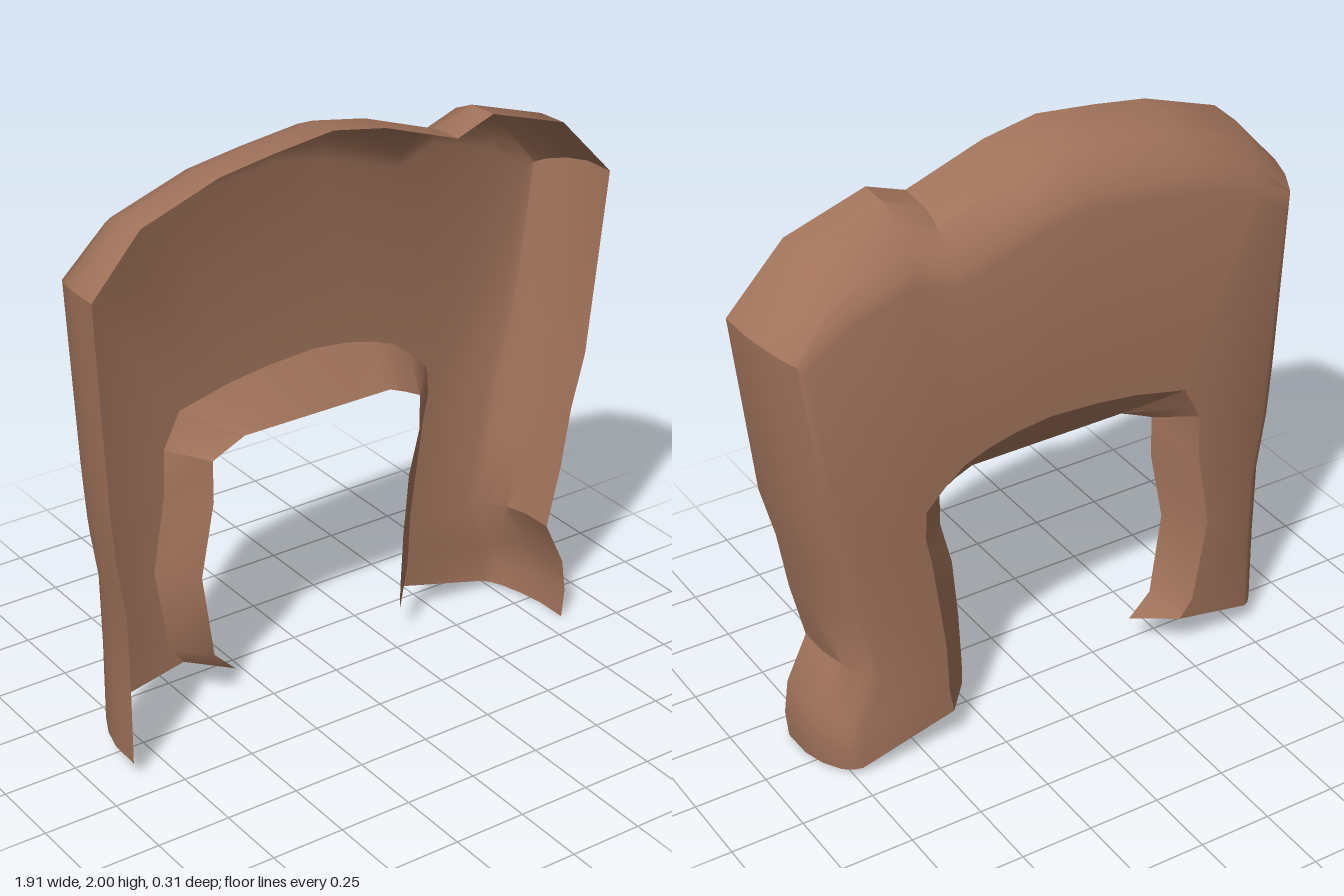
import * as THREE from 'three';
import { toCreasedNormals } from 'three/addons/utils/BufferGeometryUtils.js';

// Outer silhouette, from the foot at -x over the top to the foot at +x
const outer = [
  [-0.88, 0.06], [-0.88, 0.35], [-0.885, 0.6], [-0.915, 0.8], [-0.93, 1.0], [-0.96, 1.66],
  [-0.79, 1.85], [-0.52, 1.945], [-0.33, 1.975], [-0.12, 2.0], [0.07, 1.965], [0.34, 1.87],
  [0.475, 1.92], [0.755, 1.83], [0.955, 1.62], [0.885, 0.99], [0.835, 0.8], [0.8, 0.59],
  [0.75, 0.38], [0.825, 0.22], [0.84, 0.1], [0.83, 0],
];

// Edge of the back wall around the doorway, station by station
const archBack = [
  [-0.5, 0.135], [-0.55, 0.2], [-0.6, 0.5], [-0.555, 0.77], [-0.55, 0.93], [-0.53, 0.97],
  [-0.49, 1.05], [-0.3, 1.095], [-0.15, 1.115], [0.02, 1.125], [0.15, 1.11], [0.25, 1.085],
  [0.33, 1.055], [0.4, 1.0], [0.47, 0.93], [0.475, 0.83], [0.455, 0.73], [0.44, 0.62],
  [0.41, 0.4], [0.405, 0.3], [0.4, 0.2], [0.385, 0.12],
];

// Narrower front lip of the doorway
const archLip = [
  [-0.37, 0.12], [-0.45, 0.2], [-0.49, 0.5], [-0.44, 0.76], [-0.44, 0.905], [-0.42, 0.915],
  [-0.32, 0.96], [-0.22, 0.96], [-0.1, 0.96], [0, 0.96], [0.12, 0.96], [0.2, 0.96],
  [0.24, 0.96], [0.3, 0.935], [0.36, 0.905], [0.36, 0.78], [0.34, 0.7], [0.32, 0.62],
  [0.3, 0.4], [0.295, 0.3], [0.29, 0.2], [0.29, 0.12],
];

// Rounded shoulder: [fraction of the inset, z]
const shoulder = [[0, 0.16], [0.02, 0.05], [0.2, -0.03], [0.5, -0.1], [0.75, -0.13], [1, -0.146]];
const BACK_Z = -0.15, LIP_Z = -0.04;

// Inward offset of the silhouette: deeper along the top than at the sides
function inset(i) {
  const last = outer.length - 1;
  const [x, y] = outer[i];
  if (i === 0 || i === last) {
    const d = new THREE.Vector2(archBack[i][0] - x, archBack[i][1] - y);
    return d.setLength(0.11);
  }
  const edge = (a, b) => new THREE.Vector2(b[1] - a[1], a[0] - b[0]).normalize();
  const n = edge(outer[i - 1], outer[i]).add(edge(outer[i], outer[i + 1])).normalize();
  return new THREE.Vector2(n.x * 0.11, n.y * 0.2);
}

// Skin a grid of rows (one row per station along the arch)
function skin(rows) {
  const width = rows[0].length, index = [];
  for (let i = 0; i < rows.length - 1; i++) {
    for (let j = 0; j < width - 1; j++) {
      const a = i * width + j, b = a + width;
      index.push(a, b, b + 1, a, b + 1, a + 1);
    }
  }
  const g = new THREE.BufferGeometry();
  g.setAttribute('position', new THREE.Float32BufferAttribute(rows.flat(2), 3));
  g.setIndex(index);
  return toCreasedNormals(g, THREE.MathUtils.degToRad(36));
}

export function createModel() {
  const group = new THREE.Group();
  group.name = 'archShell';
  const clay = new THREE.MeshStandardMaterial({ color: 0xa0725a, side: THREE.DoubleSide });
  clay.name = 'clay brown';

  // Outer rim, rounded shoulder and back wall
  const shellRows = outer.map(([x, y], i) => {
    const d = inset(i);
    const row = shoulder.map(([f, z]) => [x + d.x * f, y + d.y * f, z]);
    row.push([...archBack[i], BACK_Z]);
    return row;
  });
  const shell = new THREE.Mesh(skin(shellRows), clay);
  shell.name = 'rimAndBackWall';

  // Sloping reveal around the doorway
  const revealRows = archBack.map((p, i) => [[...p, BACK_Z], [...archLip[i], LIP_Z]]);
  const reveal = new THREE.Mesh(skin(revealRows), clay);
  reveal.name = 'doorwayReveal';

  group.add(shell, reveal);
  return group;
}
